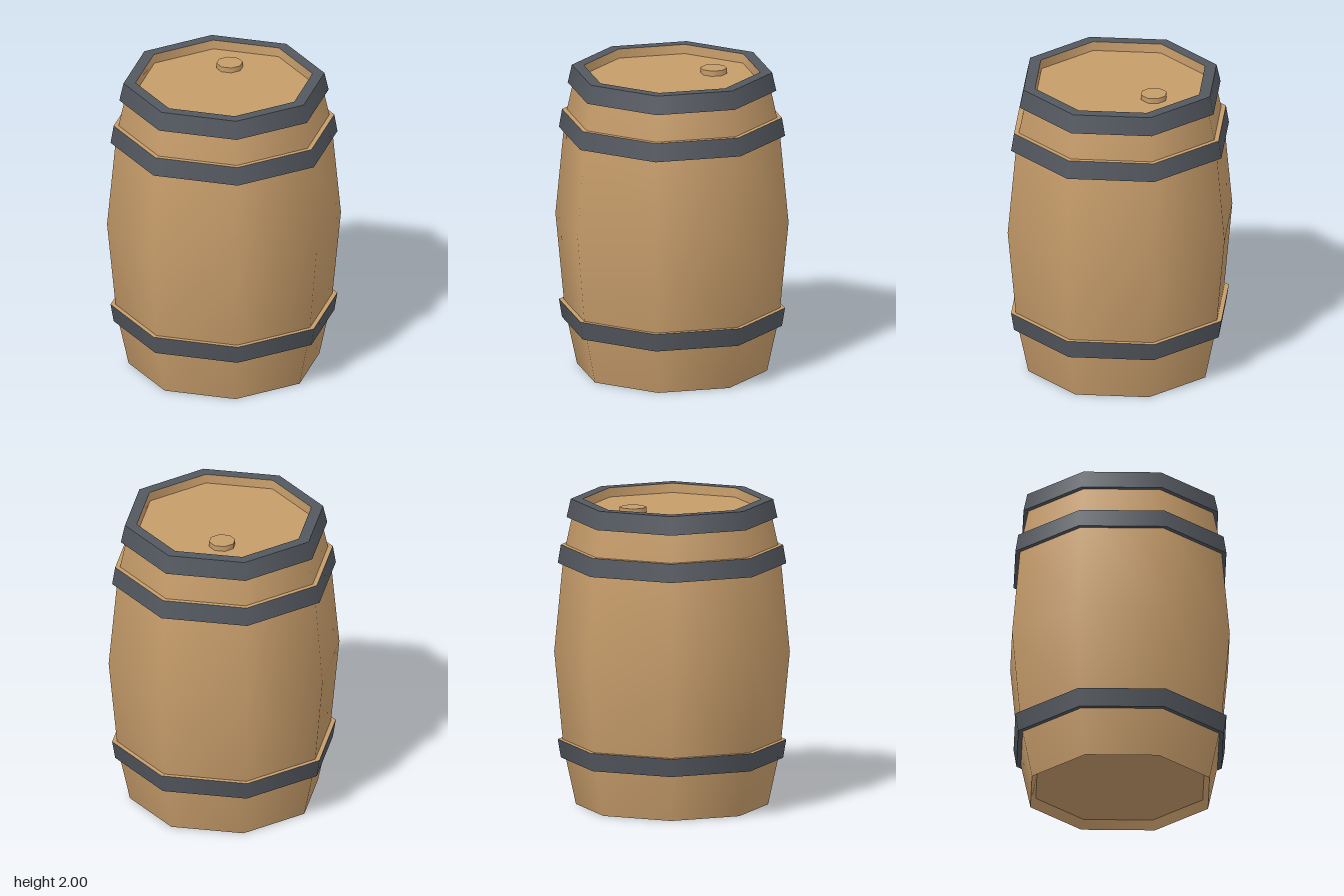
import * as THREE from 'three';

const SIDES = 8;
const wood = new THREE.MeshStandardMaterial({ color: 0xc69c6a });
wood.name = 'wood';
const iron = new THREE.MeshStandardMaterial({ color: 0x53585f });
iron.name = 'iron';

// Eight-sided turned surface; profile as [radius, y], bottom to top faces outwards
function turned(name, profile, material) {
  const points = profile.map(([r, y]) => new THREE.Vector2(r, y));
  const mesh = new THREE.Mesh(new THREE.LatheGeometry(points, SIDES), material);
  mesh.name = name;
  return mesh;
}

// Hoop with an iron band and underside, and a top face of its own material
function hoop(name, low, high, innerLow, innerHigh, topMaterial) {
  const group = new THREE.Group();
  group.name = name;
  group.add(
    turned('hoopUnderside', [[innerLow, low[1]], low], iron),
    turned('hoopBand', [low, high], iron),
    turned('hoopTop', [high, [innerHigh, high[1]]], topMaterial),
  );
  return group;
}

export function createModel() {
  const barrel = new THREE.Group();
  barrel.name = 'barrel';

  // Bulging staves
  barrel.add(turned('staves',
    [[0.62, 0], [0.7, 0.37], [0.76, 1], [0.7, 1.63], [0.62, 2]], wood));

  // Recessed lid and base
  barrel.add(
    turned('lidWall', [[0.575, 2], [0.57, 1.94]], wood),
    turned('lid', [[0.57, 1.94], [0, 1.94]], wood),
    turned('baseWall', [[0.583, 0.057], [0.62, 0]], wood),
    turned('base', [[0, 0.057], [0.583, 0.057]], wood),
  );

  // Iron hoops
  barrel.add(
    hoop('rimHoop', [0.68, 1.88], [0.653, 2], 0.64, 0.575, iron),
    hoop('upperHoop', [0.737, 1.58], [0.717, 1.7], 0.69, 0.68, wood),
    hoop('lowerHoop', [0.717, 0.305], [0.737, 0.425], 0.68, 0.69, wood),
  );

  // Bung on the lid
  const bung = new THREE.Mesh(new THREE.CylinderGeometry(0.086, 0.086, 0.035, SIDES), wood);
  bung.name = 'bung';
  bung.position.set(0.25, 1.9575, -0.15);
  barrel.add(bung);

  return barrel;
}
